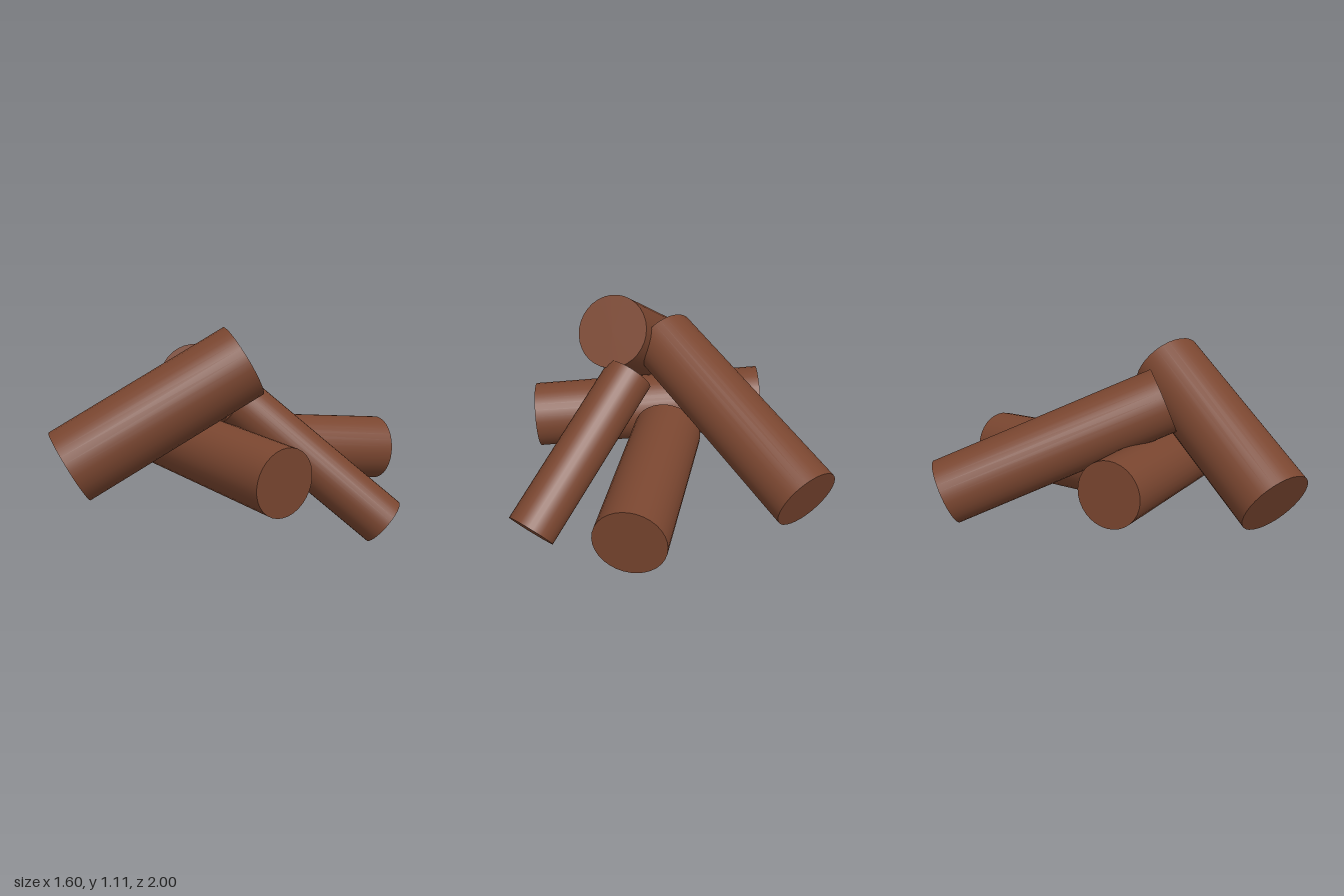
import * as THREE from 'three';

// One log: a capped cylinder running from point a to point b.
function makeLog(name, a, b, radius, material) {
  const start = new THREE.Vector3(...a);
  const end = new THREE.Vector3(...b);
  const axis = end.clone().sub(start);
  const log = new THREE.Mesh(new THREE.CylinderGeometry(radius, radius, axis.length(), 32), material);
  log.name = name;
  log.position.copy(start).add(end).multiplyScalar(0.5);
  log.quaternion.setFromUnitVectors(new THREE.Vector3(0, 1, 0), axis.normalize());
  return log;
}

export function createModel() {
  const bark = new THREE.MeshStandardMaterial({ color: 0x7a4630 });
  bark.name = 'brown bark';

  // name, lower or left end, upper or right end, radius
  const logs = [
    ['crossLog', [-0.52, 0.503, 0.185], [0.69, 0.415, 0.185], 0.173],
    ['frontLog', [-0.105, 0.447, 0.88], [0.272, 0.94, 0.1], 0.194],
    ['backRightLog', [-0.657, 0.392, -0.695], [-0.004, 0.84, 0.216], 0.173],
    ['backLog', [0.185, 0.34, -0.957], [-0.01, 0.435, -0.09], 0.178],
    ['backLeftThinLog', [0.69, 0.1, -0.495], [0.186, 0.715, 0.048], 0.13],
  ];

  const pile = new THREE.Group();
  pile.name = 'logPile';
  for (const [name, a, b, radius] of logs) pile.add(makeLog(name, a, b, radius, bark));
  return pile;
}
